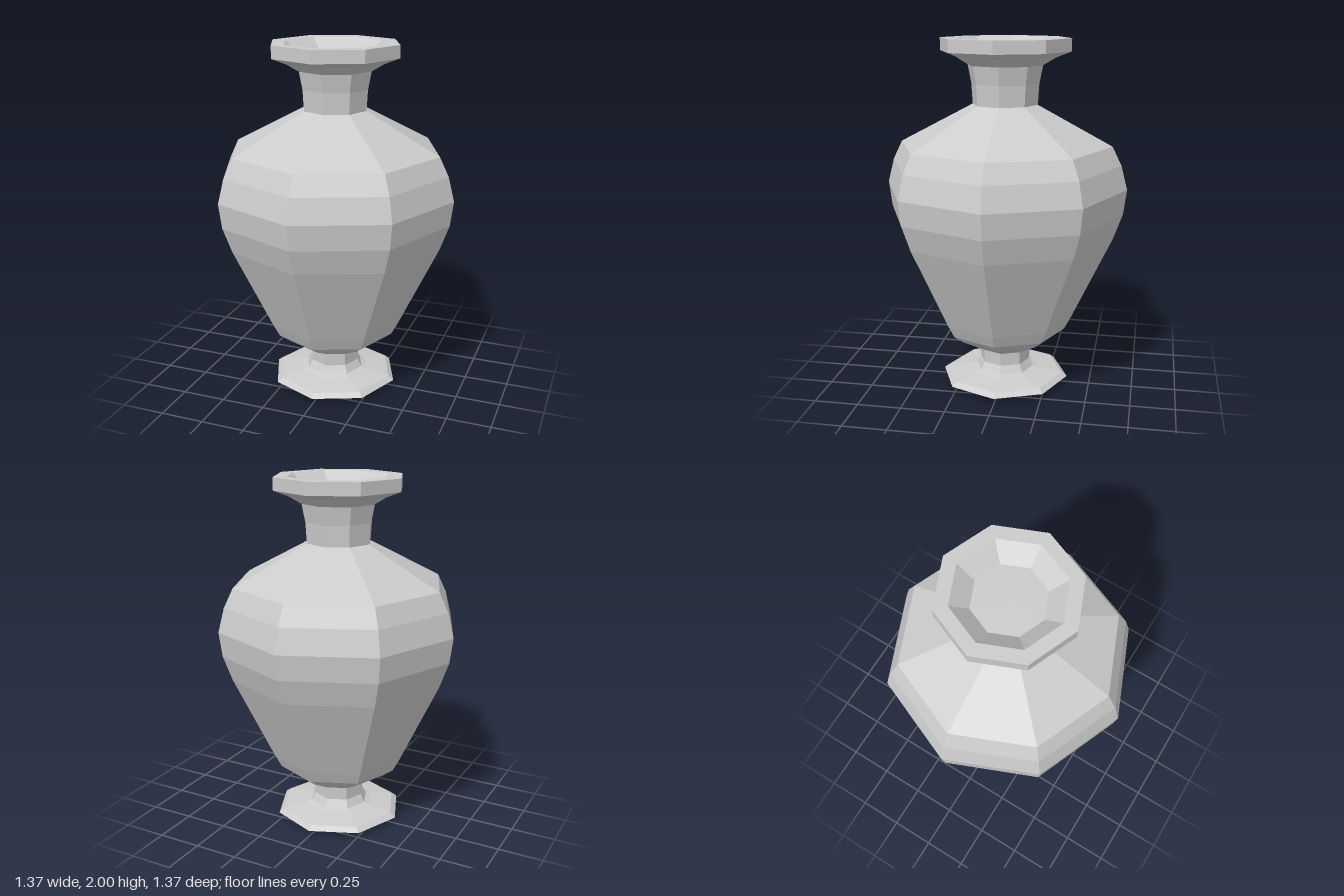
import * as THREE from 'three';

// Octagonal vase: each part is a [radius, height] profile, listed bottom to top
const SIDES = 8;
const PROFILES = {
  foot: [[0, 0.005], [0.18, 0.012], [0.37, 0.04], [0.34, 0.063], [0.2, 0.085]],
  stem: [[0.2, 0.085], [0.17, 0.095], [0.145, 0.14], [0.147, 0.215]],
  belly: [
    [0.147, 0.215], [0.29, 0.295], [0.35, 0.34], [0.387, 0.41], [0.615, 0.895],
    [0.667, 1.04], [0.685, 1.18], [0.65, 1.315], [0.598, 1.42],
  ],
  shoulder: [[0.598, 1.42], [0.183, 1.64]],
  neck: [[0.183, 1.64], [0.19, 1.755], [0.21, 1.855]],
  // Outer lip, flat rim, then the shallow dish inside the mouth
  lip: [[0.21, 1.855], [0.28, 1.897], [0.365, 1.93], [0.365, 2], [0.29, 2]],
  mouth: [[0.29, 2], [0.193, 1.92], [0, 1.92]],
};

export function createModel() {
  const vase = new THREE.Group();
  vase.name = 'vase';
  const material = new THREE.MeshStandardMaterial({ color: 0xcccccc, flatShading: true });

  for (const [name, profile] of Object.entries(PROFILES)) {
    const points = profile.map(([r, y]) => new THREE.Vector2(r, y));
    const part = new THREE.Mesh(new THREE.LatheGeometry(points, SIDES), material);
    part.name = name;
    vase.add(part);
  }
  return vase;
}
